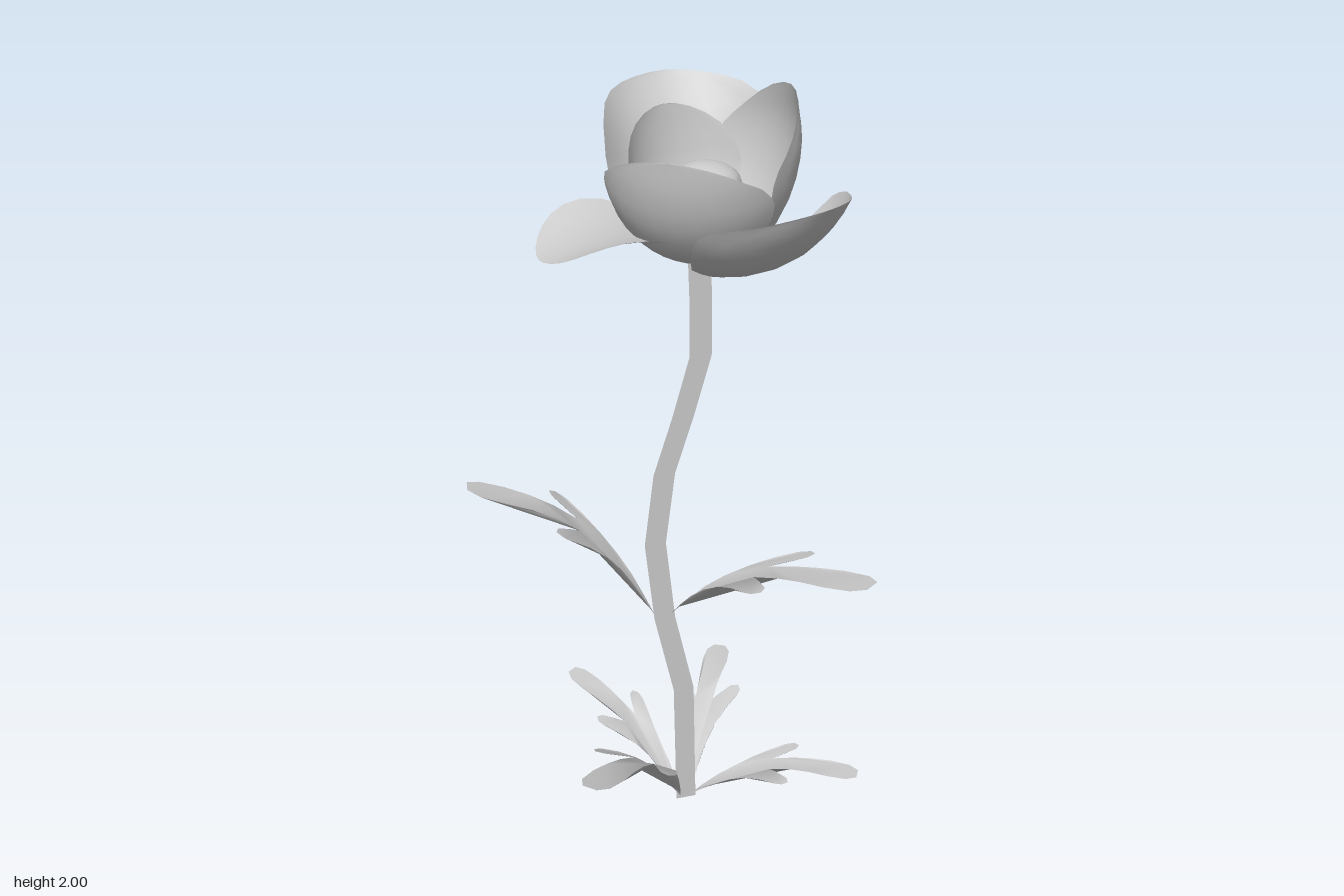
import * as THREE from 'three';
import { ParametricGeometry } from 'three/addons/geometries/ParametricGeometry.js';

const material = new THREE.MeshStandardMaterial({ color: 0xcccccc, side: THREE.DoubleSide });
const Z = -0.033; // depth of the stem plane

function part(name, geometry, x = 0, y = 0, z = 0, azimuth = 0) {
  const mesh = new THREE.Mesh(geometry, material);
  mesh.name = name;
  mesh.position.set(x, y, z);
  mesh.rotation.y = -azimuth * Math.PI / 180; // 0 = +x, 90 = +z
  return mesh;
}

const curveOf = (pts) => new THREE.CatmullRomCurve3(pts.map(([r, y]) => new THREE.Vector3(r, y, 0)));

// Cupped petal: a midline (radius, height) widened by arcs of radius bend
function petalGeometry(profile, halfWidth, bend) {
  const curve = curveOf(profile);
  const geo = new ParametricGeometry((u, v, target) => {
    const t = Math.sin(v * Math.PI / 2);
    const p = curve.getPointAt(t);
    const d = curve.getTangentAt(t);
    const width = halfWidth * Math.pow(Math.max(0, Math.sin(Math.PI * Math.pow(t, 1.45))), 0.55);
    const a = (u * 2 - 1) * width / bend;
    const lift = bend * (1 - Math.cos(a));
    target.set(p.x - d.y * lift, p.y + d.x * lift, bend * Math.sin(a));
  }, 10, 12);
  geo.computeVertexNormals();
  return geo;
}

// Half outline of a three-lobed leaf: (along, across) as parts of its length
const LEAF = [
  [0.05, 0.014], [0.1, 0.024], [0.2, 0.042], [0.3, 0.06], [0.4, 0.088], [0.5, 0.13], [0.58, 0.168], [0.63, 0.178], [0.66, 0.16],
  [0.65, 0.125], [0.59, 0.08], [0.54, 0.045], [0.65, 0.05], [0.75, 0.058], [0.85, 0.066], [0.95, 0.06], [1, 0.03],
];

// Leaf blade bent along an arching midline
function leafGeometry(reach, height, arch) {
  const curve = curveOf(arch.map(([r, y]) => [r * reach, y * height]));
  const length = curve.getLength();
  const outline = [[0, 0], ...LEAF, ...LEAF.map(([u, v]) => [u, -v]).reverse()];
  const geo = new THREE.ShapeGeometry(new THREE.Shape(outline.map(([u, v]) => new THREE.Vector2(u, v))));
  const pos = geo.attributes.position;
  for (let i = 0; i < pos.count; i++) {
    const p = curve.getPointAt(THREE.MathUtils.clamp(pos.getX(i), 0, 1));
    pos.setXYZ(i, p.x, p.y, pos.getY(i) * length);
  }
  geo.computeVertexNormals();
  return geo;
}

// Flat ribbon stem
function stemGeometry() {
  const mid = [[0.067, 0], [0.058, 0.38], [0.005, 0.62], [-0.02, 0.85], [0.004, 1.05], [0.051, 1.2], [0.095, 1.36], [0.094, 1.5], [0.088, 1.64]];
  const shape = new THREE.Shape([
    ...mid.map(([x, y]) => new THREE.Vector2(x + 0.028, y)),
    ...mid.map(([x, y]) => new THREE.Vector2(x - 0.028, y)).reverse(),
  ]);
  return new THREE.ShapeGeometry(shape);
}

export function createModel() {
  const model = new THREE.Group();
  model.name = 'flower';
  model.add(part('stem', stemGeometry(), 0, 0, Z));

  // Leaves: name, base x, base y, azimuth, reach, height, arch
  const rising = [[0, 0], [0.18, 0.38], [0.41, 0.68], [0.63, 0.84], [1, 1]];
  const flat = [[0, 0], [0.16, 0.4], [0.4, 0.82], [0.65, 1], [1, 1]];
  const leaves = [
    ['upperRightLeaf', -0.02, 0.63, 187, 0.465, 0.43, rising],
    ['upperLeftLeaf', 0.02, 0.63, 55, 0.6, 0.33, rising],
    ['lowerFrontRightLeaf', 0.05, 0.01, 133, 0.5, 0.4, rising],
    ['lowerFrontLeftLeaf', 0.08, 0.01, 31, 0.465, 0.17, flat],
    ['lowerBackLeftLeaf', 0.07, 0.01, -62, 0.5, 0.17, flat],
    ['lowerBackRightLeaf', 0.05, 0.01, 234, 0.395, 0.26, rising],
  ];
  for (const [name, x, y, azimuth, reach, height, arch] of leaves) {
    model.add(part(name, leafGeometry(reach, height, arch), x, y, Z, azimuth));
  }

  // Petals: name, azimuth, half width, bend radius, midline
  const petals = [
    ['outerFrontPetal', 63, 0.25, 0.26, [[0, 1.61], [0.12, 1.605], [0.25, 1.66], [0.33, 1.74], [0.375, 1.82]]],
    ['innerFrontPetal', 126, 0.24, 0.23, [[0, 1.62], [0.12, 1.64], [0.205, 1.73], [0.24, 1.82], [0.253, 1.91]]],
    ['leftPetal', 0, 0.24, 0.23, [[0, 1.62], [0.11, 1.65], [0.185, 1.75], [0.215, 1.88], [0.2, 2]]],
    ['innerBackPetal', -105, 0.18, 0.18, [[0, 1.63], [0.09, 1.66], [0.15, 1.75], [0.17, 1.85], [0.178, 1.93]]],
    ['outerBackPetal', -90, 0.24, 0.25, [[0, 1.62], [0.1, 1.64], [0.18, 1.73], [0.225, 1.85], [0.315, 1.97]]],
    ['droopingPetal', 175, 0.165, 0.38, [[0, 1.64], [0.12, 1.68], [0.22, 1.698], [0.31, 1.688], [0.4, 1.66]]],
  ];
  for (const [name, azimuth, halfWidth, bend, profile] of petals) {
    model.add(part(name, petalGeometry(profile, halfWidth, bend), 0.1, 0, Z, azimuth));
  }

  // Low rounded heart of the bloom
  const heart = part('flowerHeart', new THREE.SphereGeometry(0.084, 16, 12), 0.1, 1.79, -0.028);
  heart.scale.y = 0.6;
  model.add(heart);
  return model;
}
